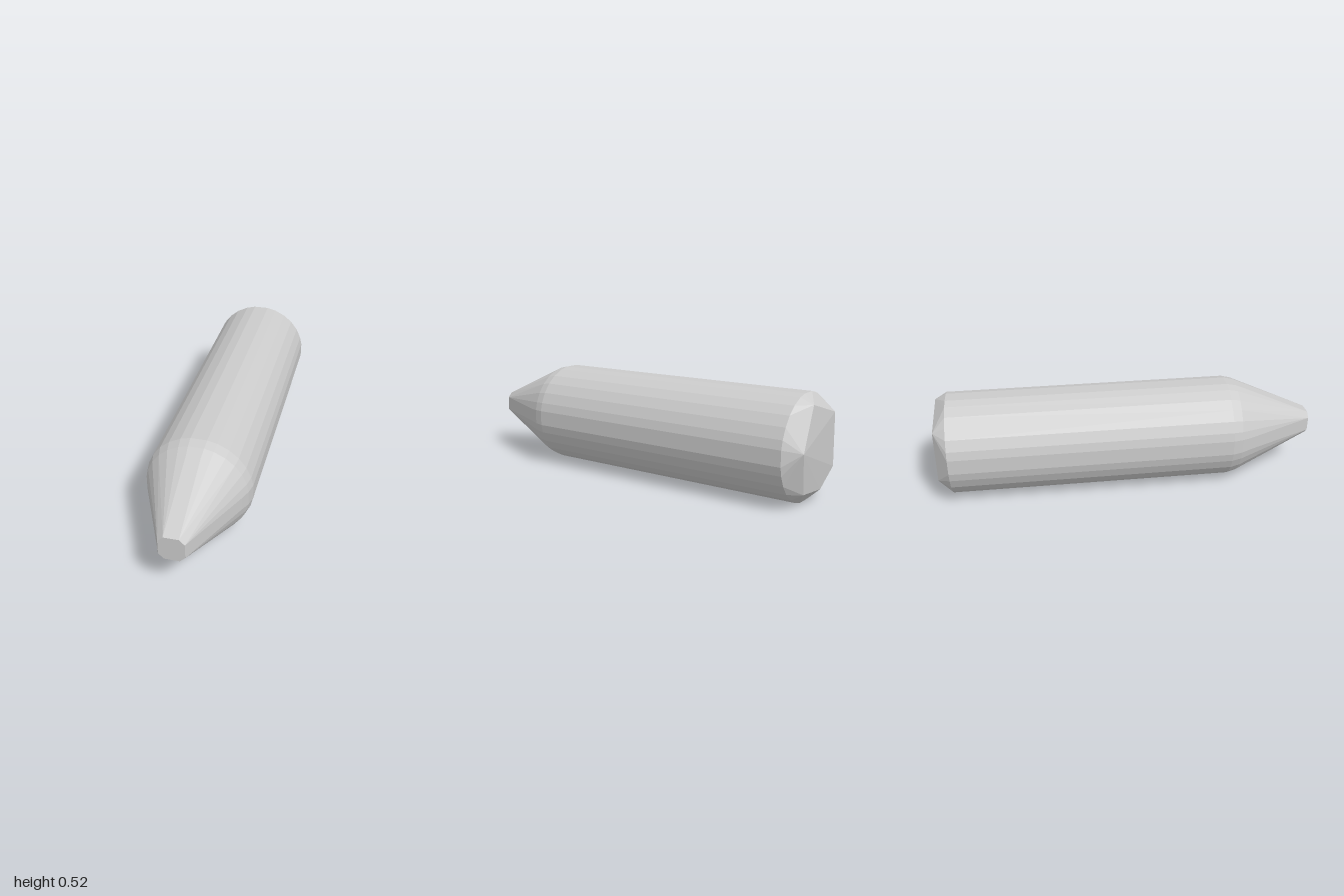
import * as THREE from 'three';
import { ConvexGeometry } from 'three/addons/geometries/ConvexGeometry.js';

const CENTRE_Y = 0.2625;
const RADIUS = 0.265;

// Slightly uneven facet angles (degrees), mirrored into all four quadrants
const QUADRANT = [8.7, 19.5, 33.3, 46, 59, 71.7, 81.5];

function ring(z, radius) {
  const points = [];
  for (const degrees of QUADRANT) {
    const a = THREE.MathUtils.degToRad(degrees);
    for (const sx of [-1, 1]) for (const sy of [-1, 1]) {
      points.push(new THREE.Vector3(sx * radius * Math.sin(a), sy * radius * Math.cos(a), z));
    }
  }
  return points;
}

export function createModel() {
  const group = new THREE.Group();
  group.name = 'pointedRod';
  const points = [];

  // Straight barrel and rounded shoulder
  for (const [z, r] of [[-0.92, RADIUS], [0.535, RADIUS], [0.585, 0.253], [0.63, 0.233]]) {
    points.push(...ring(z, r));
  }

  // Small blunt tip with eight sides
  for (const sx of [-1, 1]) for (const sy of [-1, 1]) {
    points.push(new THREE.Vector3(sx * 0.036, sy * 0.062, 1));
    points.push(new THREE.Vector3(sx * 0.062, sy * 0.036, 1));
  }

  // Irregular, roughly cut back end
  const cut = [
    [-0.17, 0.15, -0.985], [-0.18, -0.12, -0.985], [-0.06, -0.21, -0.975],
    [0.13, -0.19, -0.975], [0.2, 0.02, -1], [0.07, 0.22, -0.98],
  ];
  points.push(...cut.map((p) => new THREE.Vector3(...p)));

  const material = new THREE.MeshStandardMaterial({ color: 0xcccccc, flatShading: true });
  const body = new THREE.Mesh(new ConvexGeometry(points), material);
  body.name = 'body';
  body.position.y = CENTRE_Y;
  group.add(body);
  return group;
}
